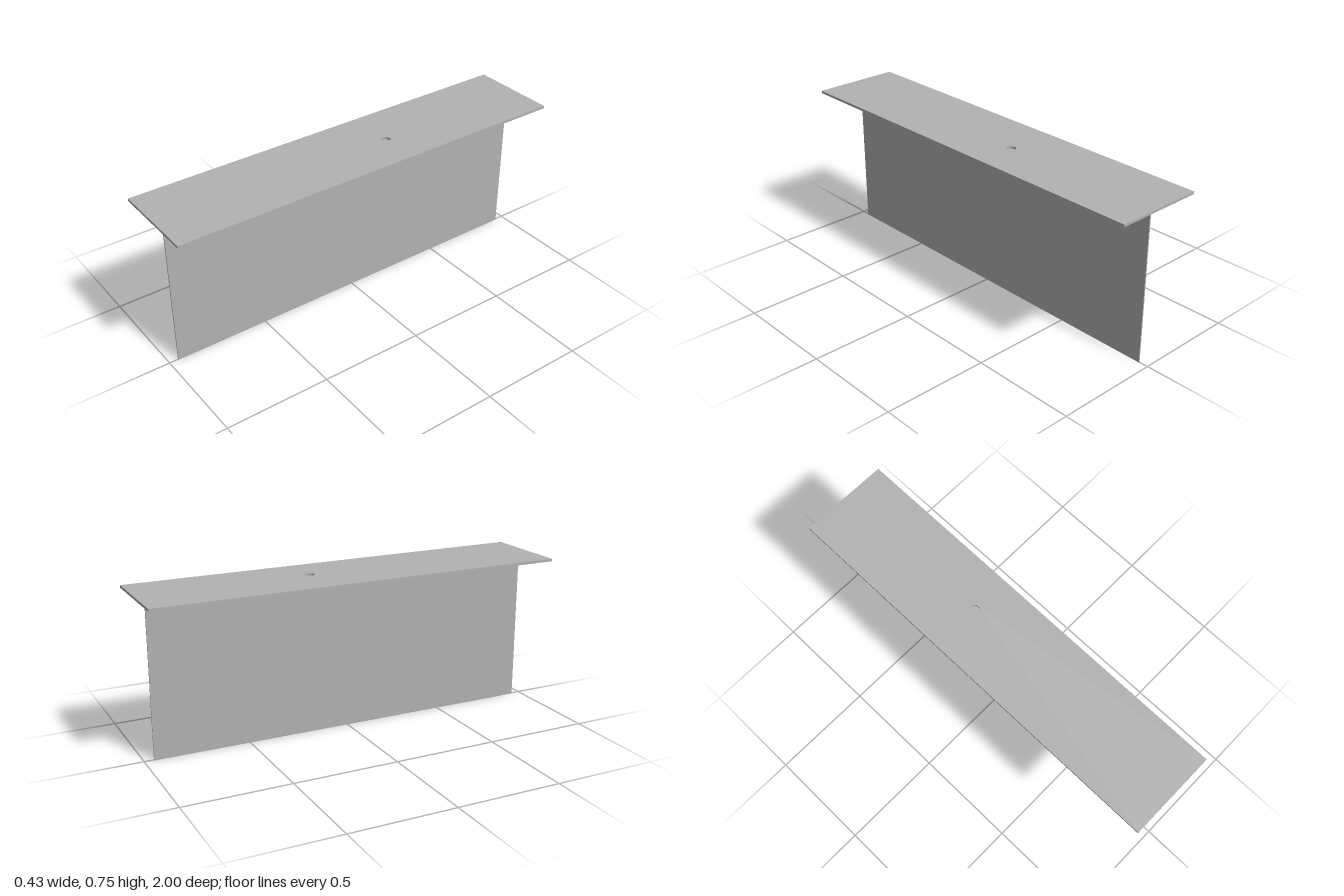
import * as THREE from 'three';

const grey = new THREE.MeshStandardMaterial({ color: 0xb2b2b2 });
grey.name = 'plain grey';

// Box given by its lower and upper corners
function slab(name, [x0, y0, z0], [x1, y1, z1]) {
  const mesh = new THREE.Mesh(new THREE.BoxGeometry(x1 - x0, y1 - y0, z1 - z0), grey);
  mesh.position.set((x0 + x1) / 2, (y0 + y1) / 2, (z0 + z1) / 2);
  mesh.name = name;
  return mesh;
}

export function createModel() {
  const group = new THREE.Group();
  group.name = 'tBeam';
  const top = 0.754, under = 0.742, halfWidth = 0.216;

  // Top plate with a round hole, extruded upward (shape y becomes -z)
  const shape = new THREE.Shape();
  shape.moveTo(-halfWidth, -1);
  shape.lineTo(halfWidth, -1);
  shape.lineTo(halfWidth, 1);
  shape.lineTo(-halfWidth, 1);
  shape.closePath();
  const hole = new THREE.Path();
  hole.absarc(0.022, 0.178, 0.023, 0, Math.PI * 2, true);
  shape.holes.push(hole);
  const plateGeometry = new THREE.ExtrudeGeometry(shape, {
    depth: top - under, bevelEnabled: false, curveSegments: 16,
  });
  plateGeometry.rotateX(-Math.PI / 2);
  const plate = new THREE.Mesh(plateGeometry, grey);
  plate.position.y = under;
  plate.name = 'topPlate';
  group.add(plate);

  // Upright panel and the fixing strip along its top edge, under the plate
  group.add(slab('uprightPanel', [-0.003, 0, -0.955], [0.003, under, 0.957]));
  group.add(slab('fixingStrip', [0.003, 0.734, -0.955], [0.056, under, 0.957]));
  return group;
}
